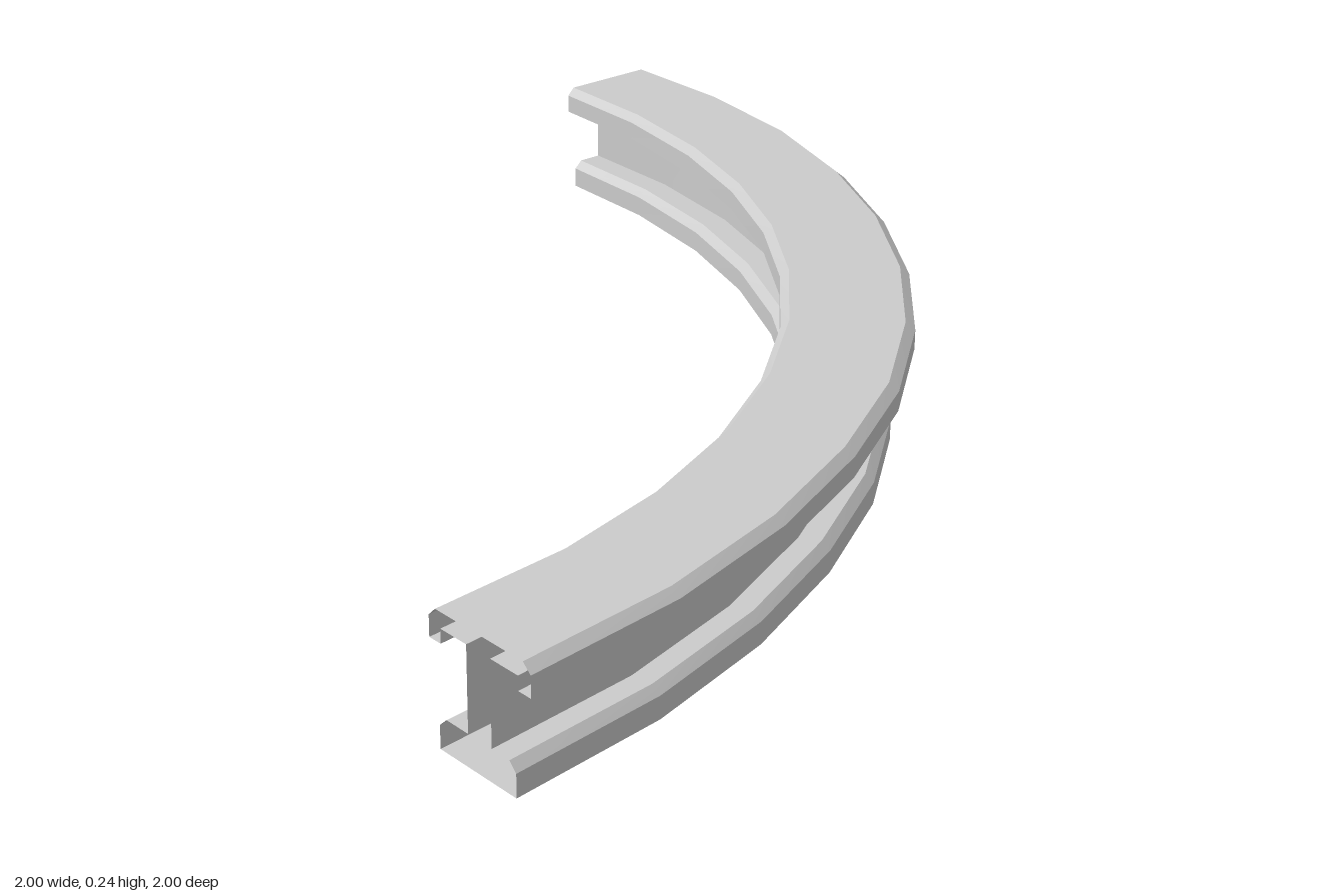
import * as THREE from 'three';

// Angles (degrees) and radii of the inner and outer rim at each of the 12 stations
const INNER_ANGLES = [0, 7.9, 16.1, 24, 32, 39.9, 48.1, 56.2, 64.4, 72.8, 81.1, 90];
const OUTER_ANGLES = [0, 7.6, 15.5, 23.6, 31.4, 39.5, 47.5, 55.6, 63.8, 72.1, 80.7, 90];
const OUTER_RADII = [2, 2.01, 2.017, 2.016, 2.014, 2.011, 2.008, 2.004, 1.996, 1.994, 1.995, 2];
const R_IN = 1.757, R_OUT = 2;
const STATIONS = INNER_ANGLES.length;

// Point on the bend: x is the cross-section position at the front end
function sweepPoint(i, [x, y]) {
  const u = (x + 1 - R_IN) / (R_OUT - R_IN);
  const at = (deg, r) => {
    const a = THREE.MathUtils.degToRad(deg);
    return new THREE.Vector3(-1 + r * Math.sin(a), y, 1 - r * Math.cos(a));
  };
  return at(INNER_ANGLES[i], R_IN).lerp(at(OUTER_ANGLES[i], OUTER_RADII[i]), u);
}

// Sweep a profile; each profile edge is its own strip: smooth along, sharp across
function sweep(name, profile, material) {
  const pos = [], index = [];
  for (let e = 0; e < profile.length - 1; e++) {
    const base = pos.length / 3;
    for (let i = 0; i < STATIONS; i++) {
      pos.push(...sweepPoint(i, profile[e]).toArray(), ...sweepPoint(i, profile[e + 1]).toArray());
      if (i < STATIONS - 1) {
        const a = base + 2 * i;
        index.push(a, a + 1, a + 2, a + 1, a + 3, a + 2);
      }
    }
  }
  const geometry = new THREE.BufferGeometry();
  geometry.setAttribute('position', new THREE.Float32BufferAttribute(pos, 3));
  geometry.setIndex(index);
  geometry.computeVertexNormals();
  const mesh = new THREE.Mesh(geometry, material);
  mesh.name = name;
  return mesh;
}

export function createModel() {
  const group = new THREE.Group();
  group.name = 'curvedBeam';
  // The beam is a hollow shell with open ends
  const material = new THREE.MeshStandardMaterial({ color: 0xcccccc, side: THREE.DoubleSide });

  // Top flange with chamfered upper edges and hanging lips
  group.add(sweep('topFlange', [
    [0.905, 0.214], [0.97, 0.214], [0.97, 0.188], [1, 0.188], [1, 0.227], [0.982, 0.243],
    [0.773, 0.243], [0.757, 0.227], [0.757, 0.188], [0.785, 0.188], [0.785, 0.214], [0.848, 0.214],
  ], material));

  // Web walls
  group.add(sweep('webOuterWall', [[0.905, 0.059], [0.905, 0.214]], material));
  group.add(sweep('webInnerWall', [[0.848, 0.214], [0.848, 0.059]], material));

  // Bottom flange with chamfered upper edges
  group.add(sweep('bottomFlange', [
    [0.848, 0.059], [0.795, 0.059], [0.778, 0.043], [0.778, 0],
    [0.963, 0], [0.963, 0.043], [0.947, 0.059], [0.905, 0.059],
  ], material));

  return group;
}
